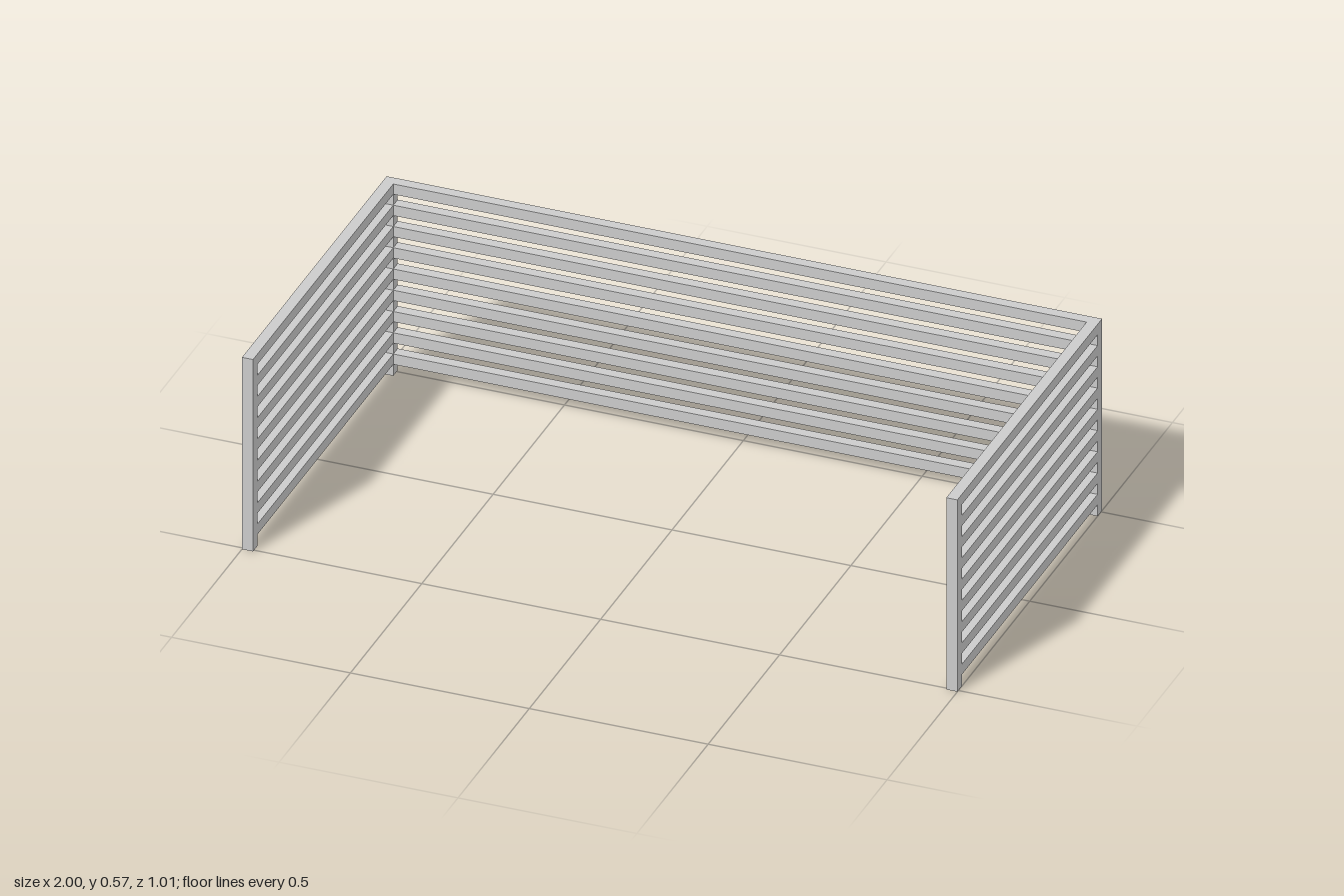
import * as THREE from 'three';

const W = 2, D = 1.014, H = 0.575; // overall size
const T = 0.031;                   // square bar thickness
const RAILS = 9, PITCH = 0.0637;

export function createModel() {
  const model = new THREE.Group();
  model.name = 'slattedEnclosure';
  const material = new THREE.MeshStandardMaterial({ color: 0xcccccc, flatShading: true });

  const bar = (parent, name, size, pos) => {
    const mesh = new THREE.Mesh(new THREE.BoxGeometry(...size), material);
    mesh.name = name;
    mesh.position.set(...pos);
    parent.add(mesh);
  };
  const panel = (name) => {
    const group = new THREE.Group();
    group.name = name;
    model.add(group);
    return group;
  };

  const px = W / 2 - T / 2, pz = D / 2 - T / 2; // post centres
  const back = panel('backPanel');
  const sides = [[1, panel('leftPanel')], [-1, panel('rightPanel')]];

  // Corner posts
  for (const [s, side] of sides) {
    bar(side, 'frontPost', [T, H, T], [s * px, H / 2, pz]);
    bar(side, 'backPost', [T, H, T], [s * px, H / 2, -pz]);
  }

  // Horizontal rails, fitted between the posts from the top down
  for (let i = 0; i < RAILS; i++) {
    const y = H - T / 2 - i * PITCH;
    bar(back, 'backRail', [W - 2 * T, T, T], [0, y, -pz]);
    for (const [s, side] of sides) {
      bar(side, 'sideRail', [T, T, D - 2 * T], [s * px, y, 0]);
    }
  }
  return model;
}
